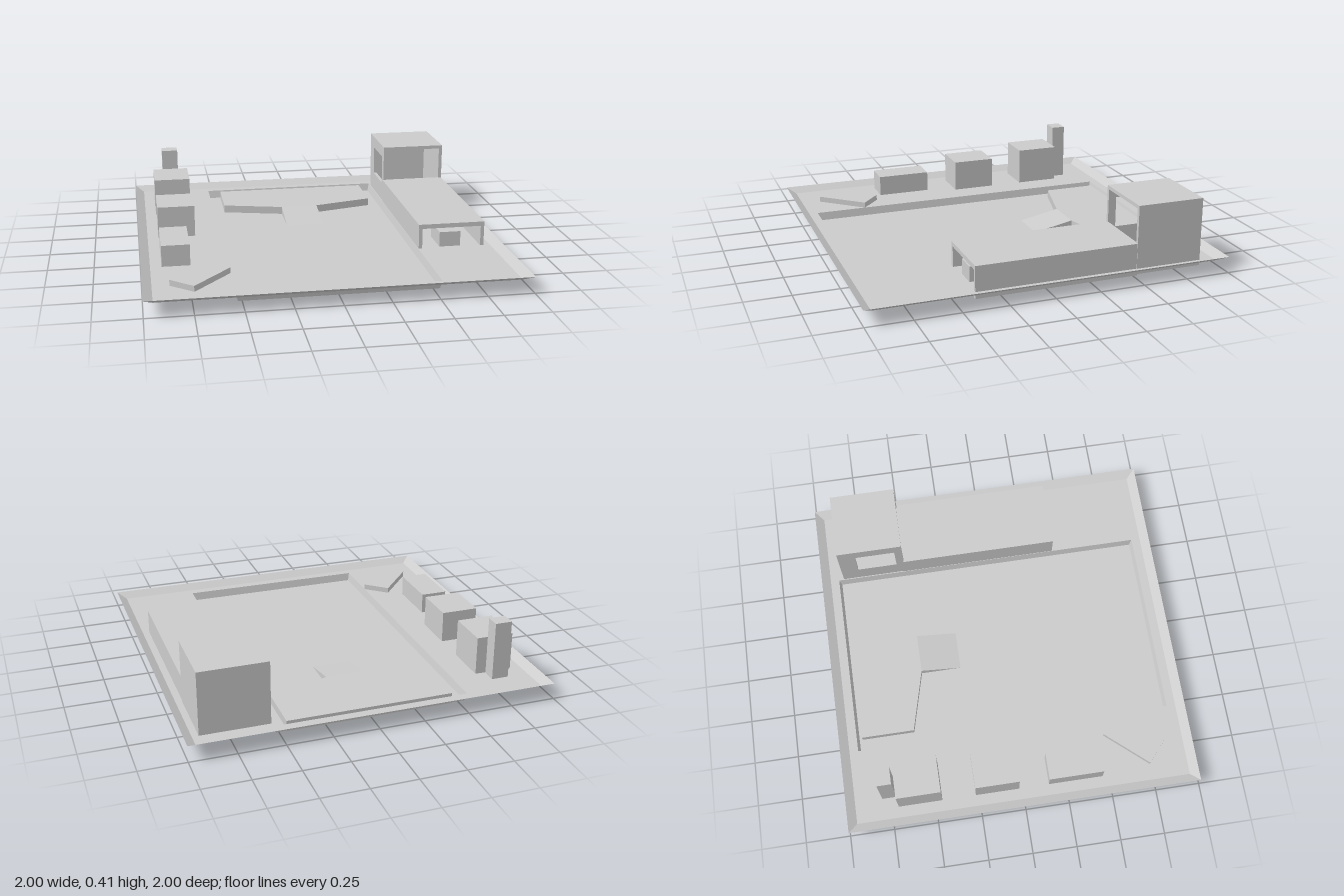
import * as THREE from 'three';

const material = new THREE.MeshStandardMaterial({ color: 0xcccccc, flatShading: true, side: THREE.DoubleSide });

export function createModel() {
  const model = new THREE.Group();

  const add = (name, geometry, parent = model) => {
    const mesh = new THREE.Mesh(geometry, material);
    mesh.name = name;
    parent.add(mesh);
    return mesh;
  };

  // Box given by its limits on each axis
  const block = (name, x0, x1, y0, y1, z0, z1, parent) => {
    const g = new THREE.BoxGeometry(x1 - x0, y1 - y0, z1 - z0);
    g.translate((x0 + x1) / 2, (y0 + y1) / 2, (z0 + z1) / 2);
    return add(name, g, parent);
  };

  const polygon = (points) => new THREE.Shape(points.map(([a, b]) => new THREE.Vector2(a, b)));
  const rectangle = (a, b) => polygon([[-a, -b], [a, -b], [a, b], [-a, b]]);

  // Sloping band joining an upper and a lower rectangle [halfX, halfZ, y]
  const slopedBand = (name, upper, lower) => {
    const corners = ([a, b, y]) => [[-a, y, -b], [-a, y, b], [a, y, b], [a, y, -b]];
    const u = corners(upper), l = corners(lower), positions = [];
    for (let i = 0; i < 4; i++) {
      const j = (i + 1) % 4;
      positions.push(...u[i], ...u[j], ...l[j], ...u[i], ...l[j], ...l[i]);
    }
    const g = new THREE.BufferGeometry();
    g.setAttribute('position', new THREE.Float32BufferAttribute(positions, 3));
    g.computeVertexNormals();
    return add(name, g);
  };

  // Extrusion of a (z, y) profile across x0..x1
  const sideExtrude = (name, shape, x0, x1, parent) => {
    const g = new THREE.ExtrudeGeometry(shape, { depth: x1 - x0, bevelEnabled: false });
    g.rotateY(-Math.PI / 2).translate(x1, 0, 0);
    return add(name, g, parent);
  };

  // Ground tray with a raised rim and a sunken yard
  const groundShape = rectangle(0.95, 0.95);
  groundShape.holes.push(rectangle(0.535, 0.9));
  add('ground', new THREE.ShapeGeometry(groundShape).rotateX(-Math.PI / 2).translate(0, 0.06, 0));
  slopedBand('groundRim', [1, 1, 0.09], [0.95, 0.95, 0.06]);
  slopedBand('yardWalls', [0.535, 0.9, 0.06], [0.525, 0.888, 0.015]);
  add('yardFloor', new THREE.PlaneGeometry(1.05, 1.776).rotateX(-Math.PI / 2).translate(0, 0.015, 0));

  // Stage with tapered front and a ramp
  const stage = polygon([[-0.46, 0.87], [-0.46, 0.57], [-0.11, 0.48], [0.11, 0.48], [0.46, 0.57], [0.46, 0.87]]);
  add('stage', new THREE.ExtrudeGeometry(stage, { depth: 0.06, bevelEnabled: false }).rotateX(-Math.PI / 2));
  sideExtrude('ramp', polygon([[-0.48, 0], [-0.25, 0], [-0.25, 0.015], [-0.48, 0.06]]), -0.11, 0.11);

  // Long hall, open at the front
  const hall = new THREE.Group();
  hall.name = 'hall';
  model.add(hall);
  block('hallRoof', 0.535, 0.912, 0.175, 0.2, -0.5, 0.405, hall);
  block('hallInnerWall', 0.537, 0.557, 0.022, 0.175, -0.5, 0.405, hall);
  block('hallOuterWall', 0.892, 0.912, 0.022, 0.175, -0.5, 0.405, hall);
  block('hallCrate', 0.66, 0.78, 0.05, 0.145, 0.21, 0.39, hall);
  block('hallCounter', 0.58, 0.87, 0.05, 0.145, -0.35, -0.1, hall);

  // Tall room behind the hall: open front, window towards the yard
  const room = new THREE.Group();
  room.name = 'room';
  model.add(room);
  const windowWall = polygon([[-0.87, 0.03], [-0.495, 0.03], [-0.495, 0.39], [-0.87, 0.39]]);
  windowWall.holes.push(polygon([[-0.77, 0.17], [-0.77, 0.34], [-0.54, 0.34], [-0.54, 0.17]]));
  sideExtrude('roomWindowWall', windowWall, 0.54, 0.558, room);
  block('roomOuterWall', 0.895, 0.915, 0.03, 0.39, -0.87, -0.495, room);
  block('roomBackWall', 0.558, 0.895, 0.03, 0.39, -0.87, -0.85, room);
  block('roomRoof', 0.54, 0.915, 0.39, 0.41, -0.87, -0.495, room);

  // Row of solid blocks along the opposite side
  [
    ['tower', -0.83, -0.735, 0.39, -0.795, -0.715],
    ['tallBlock', -0.888, -0.678, 0.275, -0.708, -0.46],
    ['middleBlock', -0.888, -0.678, 0.24, -0.27, -0.022],
    ['lowBlock', -0.888, -0.735, 0.178, 0.148, 0.457],
  ].forEach(([name, x0, x1, top, z0, z1]) => block(name, x0, x1, 0.05, top, z0, z1));

  // Thin slab lying at an angle
  const slab = add('angledSlab', new THREE.BoxGeometry(0.16, 0.04, 0.31));
  slab.position.set(-0.697, 0.072, 0.672);
  slab.rotation.y = -0.72;

  return model;
}
